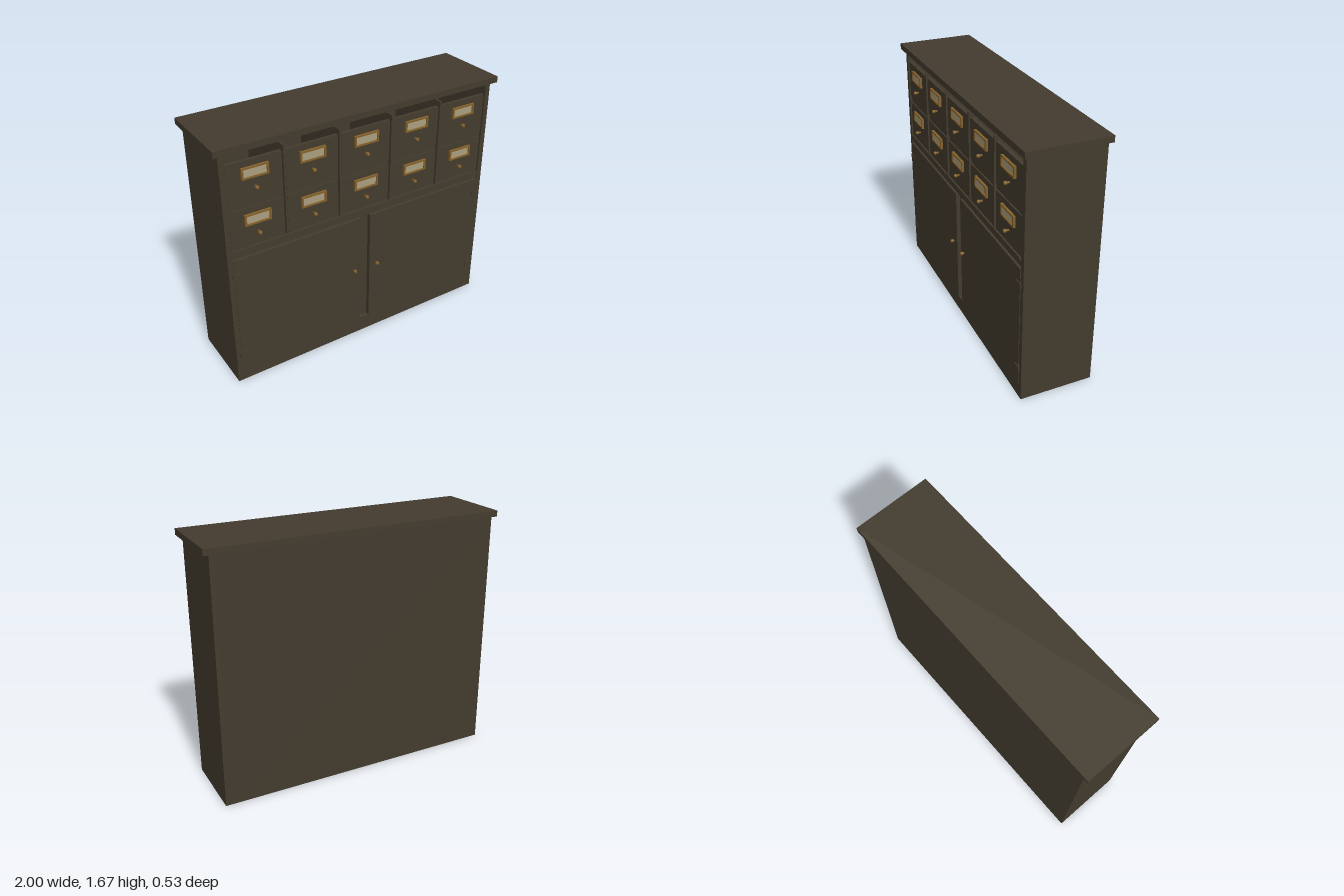
import * as THREE from 'three';

export function createModel() {
  const model = new THREE.Group();
  model.name = 'apothecaryCabinet';

  const material = (name, color) => {
    const m = new THREE.MeshStandardMaterial({ color });
    m.name = name;
    return m;
  };
  const wood = material('darkWood', 0x433b2e);
  const brass = material('brass', 0x83602a);
  const paper = material('labelPaper', 0xaa9f7e);

  // Box given by its limits on each axis
  const box = (name, x0, x1, y0, y1, z0, z1, mat = wood, parent = model) => {
    const mesh = new THREE.Mesh(new THREE.BoxGeometry(x1 - x0, y1 - y0, z1 - z0), mat);
    mesh.position.set((x0 + x1) / 2, (y0 + y1) / 2, (z0 + z1) / 2);
    mesh.name = name;
    parent.add(mesh);
    return mesh;
  };

  // Small turned pull with a stem and a wider head
  const knobProfile = [[0, 0], [0.007, 0], [0.007, 0.016], [0.012, 0.02], [0.012, 0.031], [0.008, 0.036], [0, 0.036]];
  const knobGeometry = new THREE.LatheGeometry(knobProfile.map(([r, h]) => new THREE.Vector2(r, h)), 10);
  knobGeometry.rotateX(Math.PI / 2);
  const knob = (name, x, y, z, parent = model) => {
    const mesh = new THREE.Mesh(knobGeometry, brass);
    mesh.position.set(x, y, z);
    mesh.name = name;
    parent.add(mesh);
  };

  // Rail with rounded ends
  const rail = (name, y0, y1, z0, z1) => {
    const r = (y1 - y0) / 2, w = 0.93 - r;
    const s = new THREE.Shape();
    s.moveTo(-w, -r);
    s.lineTo(w, -r);
    s.absarc(w, 0, r, -Math.PI / 2, Math.PI / 2, false);
    s.lineTo(-w, r);
    s.absarc(-w, 0, r, Math.PI / 2, Math.PI * 1.5, false);
    const mesh = new THREE.Mesh(
      new THREE.ExtrudeGeometry(s, { depth: z1 - z0, bevelEnabled: false, curveSegments: 5 }), wood);
    mesh.position.set(0, (y0 + y1) / 2, z0);
    mesh.name = name;
    model.add(mesh);
  };

  // Carcass
  box('topBoard', -1, 1, 1.63, 1.67, -0.262, 0.262);
  box('leftSide', 0.93, 0.965, 0, 1.63, -0.25, 0.235);
  box('rightSide', -0.965, -0.93, 0, 1.63, -0.25, 0.235);
  box('backPanel', -0.93, 0.93, 0, 1.63, -0.25, -0.23);
  box('base', -0.93, 0.93, 0, 0.09, -0.23, 0.235);
  box('middleBoard', -0.93, 0.93, 0.935, 0.965, -0.23, 0.23);
  box('drawerShelf', -0.93, 0.93, 1.25, 1.292, -0.23, 0.218);
  box('centrePost', -0.05, 0.05, 0.09, 0.935, 0.16, 0.205);
  rail('bottomRail', 0.085, 0.11, 0.15, 0.237);
  rail('drawerRail', 0.96, 0.99, -0.23, 0.237);

  // Upright dividers between drawer columns
  for (const x of [-0.5625, -0.1875, 0.1875, 0.5625]) {
    box('drawerDivider', x - 0.006, x + 0.006, 0.965, 1.585, -0.23, 0.236);
  }

  // Open label frame, shared by all drawers
  const frameShape = new THREE.Shape([[-0.086, -0.036], [0.086, -0.036], [0.086, 0.036], [-0.086, 0.036]]
    .map(([x, y]) => new THREE.Vector2(x, y)));
  frameShape.holes.push(new THREE.Path([[-0.074, -0.026], [-0.074, 0.026], [0.074, 0.026], [0.074, -0.026]]
    .map(([x, y]) => new THREE.Vector2(x, y))));
  const frameGeometry = new THREE.ExtrudeGeometry(frameShape, { depth: 0.016, bevelEnabled: false });

  // Two rows of five drawers, open above the fronts
  for (const [y0, y1] of [[0.992, 1.25], [1.292, 1.552]]) {
    for (let i = -2; i <= 2; i++) {
      const x = i * 0.375;
      const drawer = new THREE.Group();
      drawer.name = 'drawer';
      model.add(drawer);
      box('drawerFront', x - 0.176, x + 0.176, y0, y1, 0.205, 0.227, wood, drawer);
      const frame = new THREE.Mesh(frameGeometry, brass);
      frame.position.set(x, y1 - 0.075, 0.227);
      frame.name = 'labelFrame';
      drawer.add(frame);
      box('labelCard', x - 0.075, x + 0.075, y1 - 0.102, y1 - 0.048, 0.227, 0.235, paper, drawer);
      knob('drawerKnob', x, y1 - 0.172, 0.226, drawer);
    }
  }

  // Mirrored pair of doors with hinges
  for (const s of [-1, 1]) {
    const door = new THREE.Group();
    door.name = s > 0 ? 'leftDoor' : 'rightDoor';
    model.add(door);
    const panel = box('doorPanel', 0.035, 0.93, 0.11, 0.925, 0.21, 0.239, wood, door);
    panel.position.x *= s;
    knob('doorKnob', s * 0.088, 0.54, 0.23, door);
    for (const y of [0.22, 0.82]) {
      const hinge = box('hinge', 0.89, 0.942, y - 0.016, y + 0.016, 0.225, 0.245, wood, door);
      hinge.position.x *= s;
    }
  }

  return model;
}
